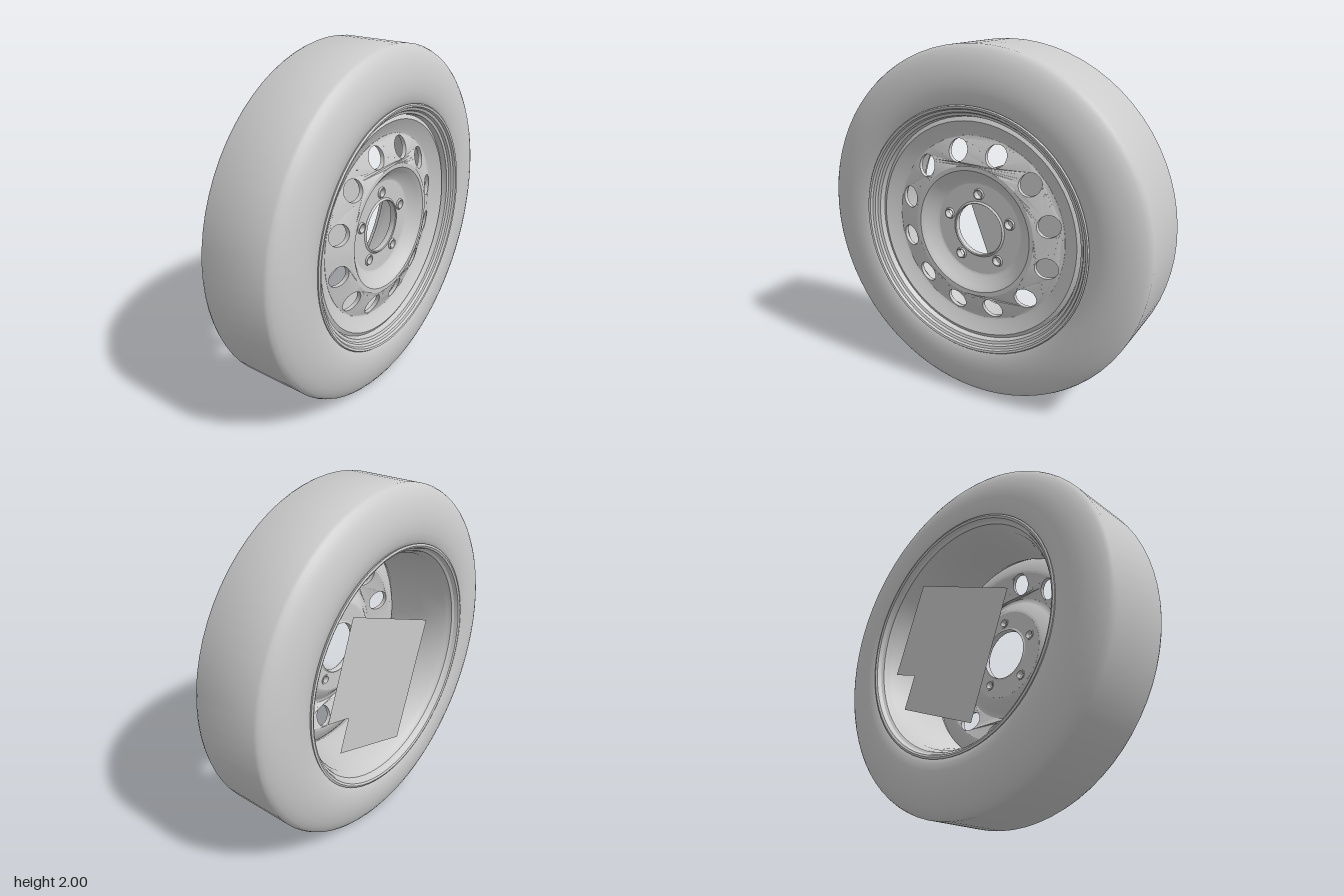
import * as THREE from 'three';
import { toCreasedNormals } from 'three/addons/utils/BufferGeometryUtils.js';

const SEG = 72;
const material = new THREE.MeshStandardMaterial({ color: 0xcccccc, side: THREE.DoubleSide });

function addMesh(parent, name, geometry, crease = 0.5) {
  const mesh = new THREE.Mesh(toCreasedNormals(geometry, crease), material);
  mesh.name = name;
  parent.add(mesh);
  return mesh;
}

// Turn a list of [radius, z] points around the wheel axis (z)
function turned(profile, segments = SEG) {
  const points = profile.map(([r, z]) => new THREE.Vector2(r, z));
  return new THREE.LatheGeometry(points, segments).rotateX(Math.PI / 2);
}

// Pressed ring with round holes; rear face follows zOf(radius)
function piercedRing(inner, outer, holes, thickness, zOf) {
  const shape = new THREE.Shape().absarc(0, 0, outer, 0, Math.PI * 2);
  shape.holes.push(new THREE.Path().absarc(0, 0, inner, 0, Math.PI * 2, true));
  for (const { x, y, r } of holes) {
    shape.holes.push(new THREE.Path().absarc(x, y, r, 0, Math.PI * 2, true));
  }
  const geometry = new THREE.ExtrudeGeometry(shape, {
    depth: thickness, bevelEnabled: false, curveSegments: 36,
  });
  const p = geometry.attributes.position;
  for (let i = 0; i < p.count; i++) {
    p.setZ(i, p.getZ(i) + zOf(Math.hypot(p.getX(i), p.getY(i))));
  }
  return geometry;
}

function holeCircle(count, radius, startDegrees, r) {
  return Array.from({ length: count }, (_, i) => {
    const a = THREE.MathUtils.degToRad(startDegrees) + (i / count) * Math.PI * 2;
    return { x: Math.cos(a) * radius, y: Math.sin(a) * radius, r };
  });
}

export function createModel() {
  const wheel = new THREE.Group();
  wheel.name = 'wheel';
  const parts = new THREE.Group();
  parts.name = 'wheelParts';
  parts.position.y = 1;
  wheel.add(parts);

  // Tyre: mirrored sidewalls around a flat tread
  const side = [
    [0.67, 0.235], [0.69, 0.255], [0.72, 0.267], [0.76, 0.273], [0.8, 0.274], [0.84, 0.27],
    [0.88, 0.262], [0.92, 0.249], [0.95, 0.236], [0.975, 0.22], [0.992, 0.205], [1, 0.188],
  ];
  const mirrored = side.map(([r, z]) => [r, -z]);
  addMesh(parts, 'tyre', turned([...mirrored, ...side.slice().reverse()]), 0.7);

  // Rim: rolled rear lip, drop-centre barrel, stepped front lip
  addMesh(parts, 'rim', turned([
    [0.672, -0.235], [0.694, -0.258], [0.699, -0.27], [0.688, -0.274], [0.677, -0.268],
    [0.668, -0.245], [0.655, -0.235], [0.648, -0.21], [0.635, -0.19], [0.62, -0.02],
    [0.61, 0.1], [0.615, 0.17], [0.635, 0.2], [0.64, 0.23], [0.655, 0.236], [0.662, 0.25],
    [0.676, 0.256], [0.682, 0.27], [0.694, 0.273], [0.7, 0.266], [0.694, 0.25], [0.672, 0.235],
  ]));

  // Pressed outer flange joining the disc to the rim
  addMesh(parts, 'discFlange', turned([
    [0.515, 0.145], [0.535, 0.147], [0.612, 0.185], [0.632, 0.2],
    [0.61, 0.212], [0.545, 0.174], [0.525, 0.168],
  ]));

  // Conical band with twelve vent holes
  addMesh(parts, 'ventedDisc', piercedRing(0.37, 0.527, holeCircle(12, 0.455, 13.5, 0.06), 0.024,
    (r) => 0.146 + (0.527 - r) * 0.36));

  // Dish sloping back into the hub, with a rounded brow
  addMesh(parts, 'hubDish', turned([
    [0.372, 0.203], [0.358, 0.203], [0.338, 0.192], [0.285, 0.142], [0.262, 0.136],
    [0.262, 0.16], [0.278, 0.164], [0.325, 0.21], [0.348, 0.227], [0.372, 0.227],
  ]), 0.6);

  // Flat mounting face with five bolt holes
  const bolts = holeCircle(5, 0.202, 90, 0.021);
  addMesh(parts, 'hubFace', piercedRing(0.15, 0.264, bolts, 0.024, () => 0.136));

  // Raised collar around the centre bore
  addMesh(parts, 'centreBore', turned([
    [0.16, 0.136], [0.15, 0.13], [0.147, 0.136], [0.147, 0.164], [0.151, 0.169], [0.161, 0.16],
  ]));

  // Bolt seats
  const seat = turned([
    [0.022, 0.132], [0.02, 0.138], [0.02, 0.16], [0.024, 0.17], [0.029, 0.17], [0.033, 0.159],
    [0.031, 0.132], [0.022, 0.132],
  ], 24);
  for (const { x, y } of bolts) {
    addMesh(parts, 'boltSeat', seat).position.set(x, y, 0);
  }

  // Flat notched plate behind the disc
  const outline = [[0.324, 0.436], [-0.362, 0.148], [-0.1, -0.535], [0.438, -0.33],
    [0.365, -0.141], [0.531, -0.09]].map(([x, y]) => new THREE.Vector2(x, y));
  addMesh(parts, 'rearPlate', new THREE.ShapeGeometry(new THREE.Shape(outline))).position.z = -0.232;

  return wheel;
}
